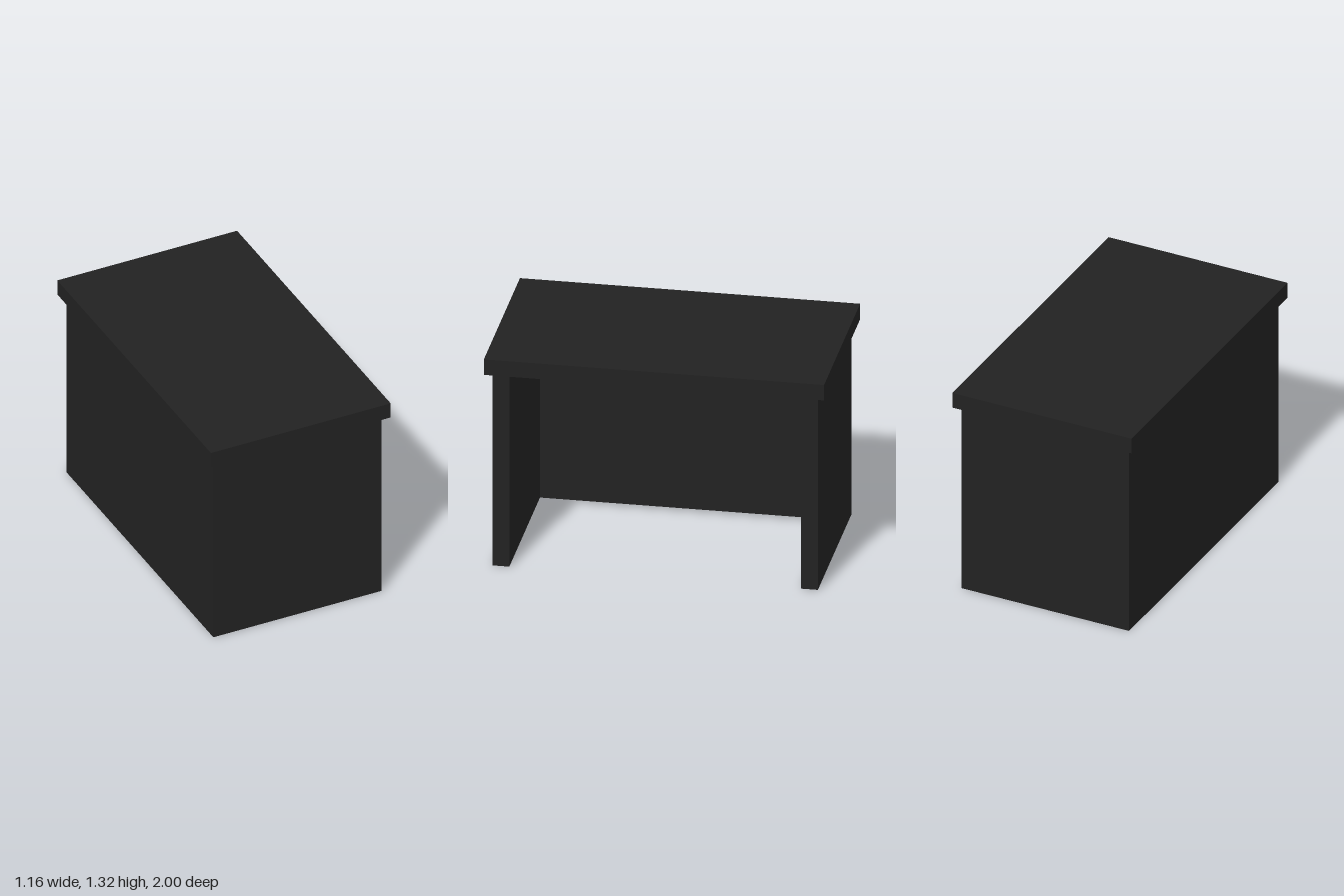
import * as THREE from 'three';

export function createModel() {
  const desk = new THREE.Group();
  desk.name = 'desk';
  const charcoal = new THREE.MeshStandardMaterial({ color: 0x222222 });
  charcoal.name = 'charcoal';

  const topY = 1.32, legH = 1.222, halfX = 0.543, halfZ = 0.957, board = 0.1;

  function panel(name, w, h, d, x, y, z) {
    const mesh = new THREE.Mesh(new THREE.BoxGeometry(w, h, d), charcoal);
    mesh.name = name;
    mesh.position.set(x, y, z);
    desk.add(mesh);
  }

  // overhanging desktop slab
  panel('desktop', 1.16, topY - legH, 2, 0, (topY + legH) / 2, 0);

  // full-width end panels that carry the top
  for (const s of [1, -1]) {
    panel(s > 0 ? 'frontEndPanel' : 'backEndPanel',
      halfX * 2, legH, board, 0, legH / 2, s * (halfZ - board / 2));
  }

  // closing panel between the ends; the +x side stays open
  panel('modestyPanel', board, legH, 2 * (halfZ - board), -halfX + board / 2, legH / 2, 0);

  return desk;
}
